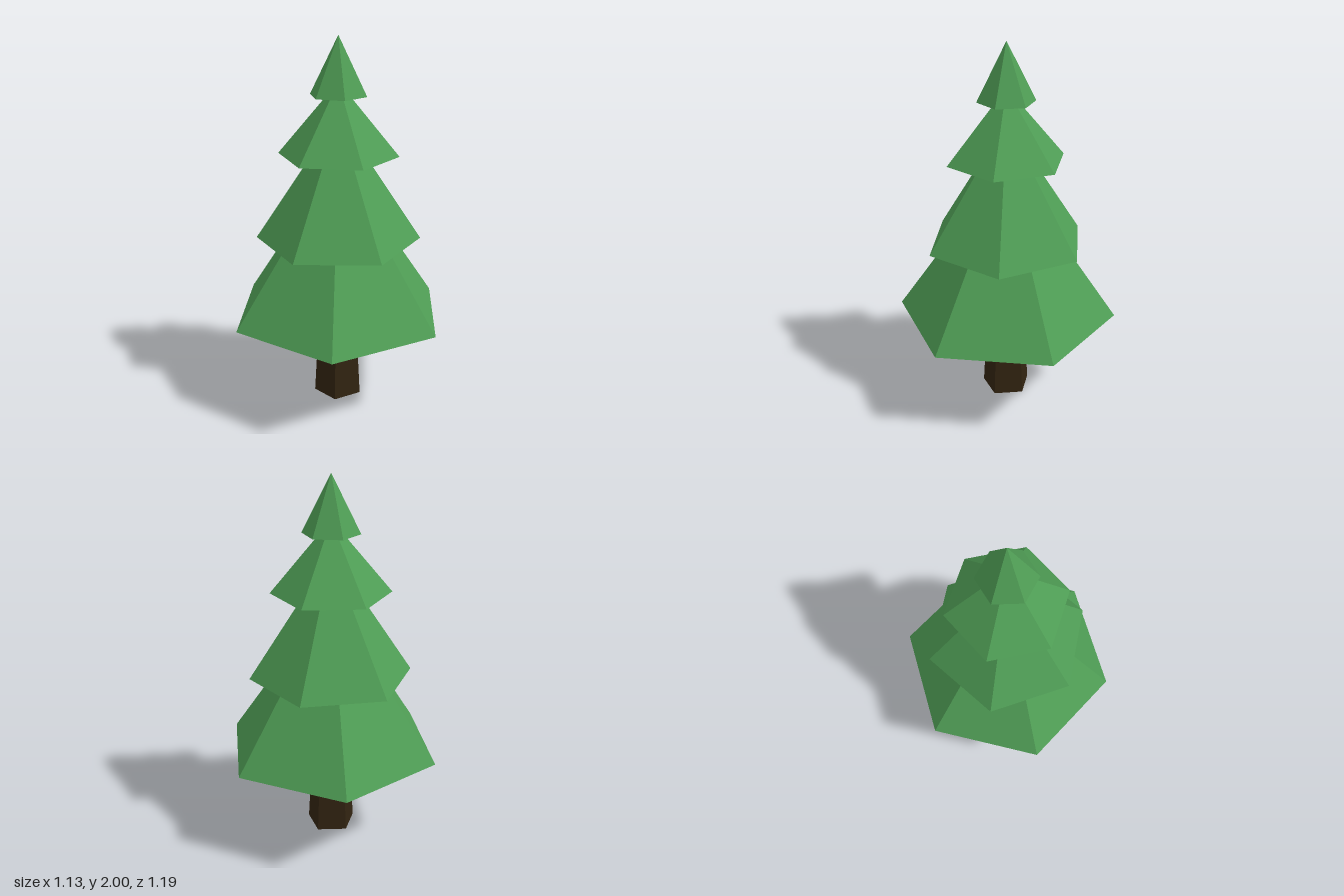
import * as THREE from 'three';

export function createModel() {
  const tree = new THREE.Group();
  tree.name = 'pineTree';

  const foliage = new THREE.MeshStandardMaterial({ color: 0x4f9d55, flatShading: true });
  foliage.name = 'foliage green';
  const bark = new THREE.MeshStandardMaterial({ color: 0x322411, flatShading: true });
  bark.name = 'bark brown';

  // five-sided tapered trunk with a corner pointing to the front left
  const trunk = new THREE.Mesh(
    new THREE.CylinderGeometry(0.107, 0.136, 0.5, 5, 1, false, Math.PI / 4), bark);
  trunk.name = 'trunk';
  trunk.position.y = 0.25;
  tree.add(trunk);

  // stacked six-sided cones, each turned by its own angle and nested in the next
  const tiers = [
    { name: 'bottomTier', base: 0.5, tip: 1.37, radius: 0.603, turn: -10 },
    { name: 'lowerMiddleTier', base: 0.93, tip: 1.6, radius: 0.441, turn: 22.2 },
    { name: 'upperMiddleTier', base: 1.39, tip: 1.77, radius: 0.318, turn: 15.5 },
    { name: 'topTier', base: 1.7, tip: 2, radius: 0.152, turn: 5.5 },
  ];
  for (const { name, base, tip, radius, turn } of tiers) {
    const geometry = new THREE.ConeGeometry(
      radius, tip - base, 6, 1, false, THREE.MathUtils.degToRad(turn));
    const tier = new THREE.Mesh(geometry, foliage);
    tier.name = name;
    tier.position.y = (base + tip) / 2;
    tree.add(tier);
  }

  return tree;
}
